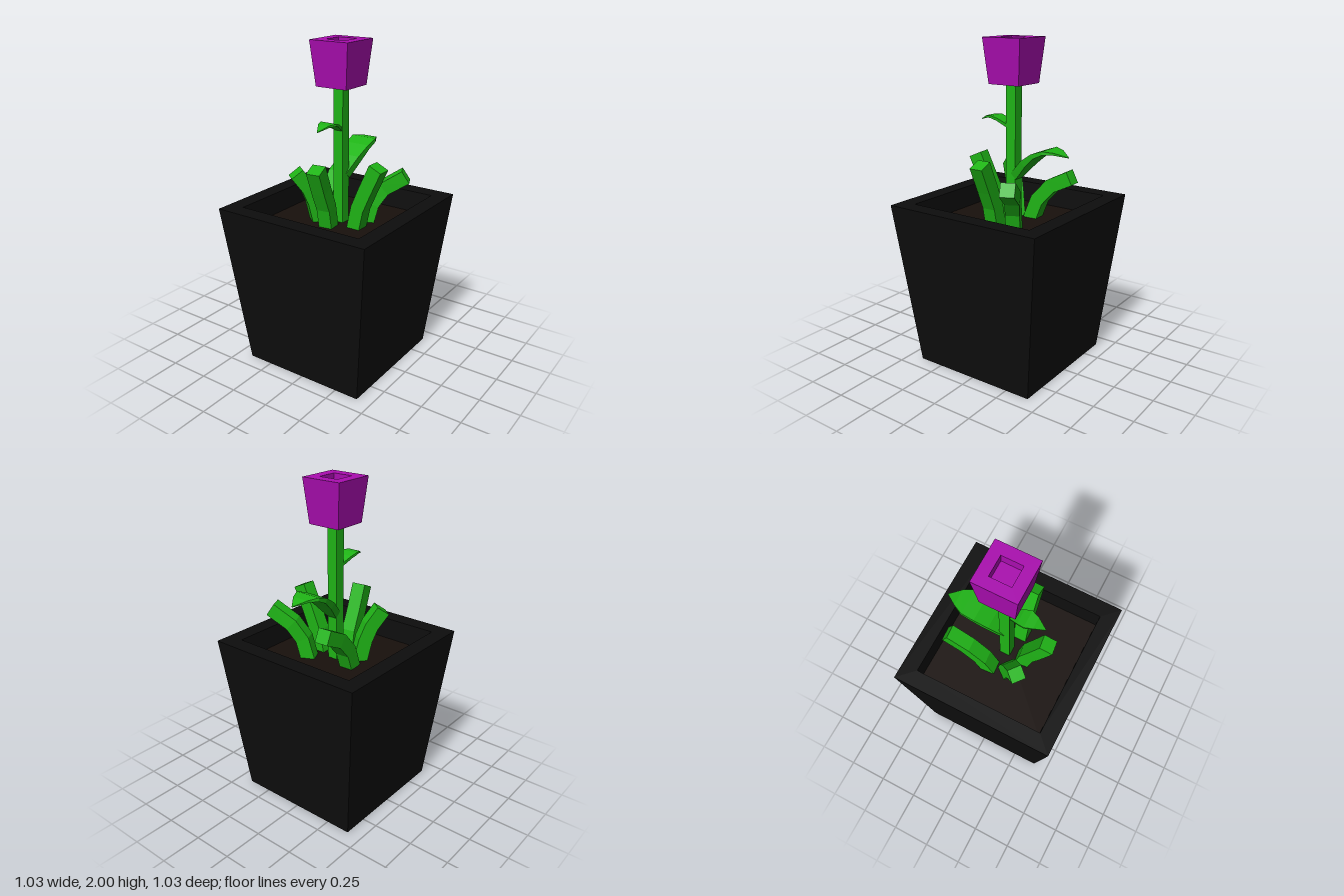
import * as THREE from 'three';

const V = (p) => new THREE.Vector3(...p);
const paint = (color) => new THREE.MeshStandardMaterial({ color, flatShading: true });

function addMesh(parent, name, geometry, material) {
  const flat = geometry.index ? geometry.toNonIndexed() : geometry;
  flat.computeVertexNormals();
  const mesh = new THREE.Mesh(flat, material);
  mesh.name = name;
  parent.add(mesh);
  return mesh;
}

// Square-sided solid from a profile of [half width, height]
function squareLathe(profile) {
  const points = profile.map(([half, y]) => new THREE.Vector2(half * Math.SQRT2, y));
  return new THREE.LatheGeometry(points, 4, Math.PI / 4);
}

// Rectangular section swept along a few points; widths and depths are given per point
function sweep(path, widths, depths) {
  const pts = path.map(V);
  const last = pts.length - 1;
  const heading = pts[last].clone().sub(pts[0]);
  const side = new THREE.Vector3(heading.z, 0, -heading.x).normalize();
  const positions = [];
  const index = [];
  pts.forEach((p, i) => {
    const tangent = pts[Math.min(i + 1, last)].clone().sub(pts[Math.max(i - 1, 0)]).normalize();
    const normal = tangent.clone().cross(side).normalize();
    for (const [a, b] of [[-1, -1], [1, -1], [1, 1], [-1, 1]]) {
      const corner = p.clone()
        .addScaledVector(side, a * widths[i] / 2)
        .addScaledVector(normal, b * depths[i] / 2);
      positions.push(corner.x, corner.y, corner.z);
    }
    if (i === last) return;
    for (let k = 0; k < 4; k++) {
      const a = i * 4 + k, b = i * 4 + (k + 1) % 4;
      index.push(a, b, b + 4, a, b + 4, a + 4);
    }
  });
  const e = last * 4;
  index.push(0, 2, 1, 0, 3, 2, e, e + 1, e + 2, e, e + 2, e + 3);
  const geometry = new THREE.BufferGeometry();
  geometry.setAttribute('position', new THREE.Float32BufferAttribute(positions, 3));
  geometry.setIndex(index);
  return geometry;
}

export function createModel() {
  const model = new THREE.Group();
  model.name = 'pottedFlower';
  const black = paint(0x0d0d0d);
  const brown = paint(0x18100c);
  const green = paint(0x1fb416);
  const purple = paint(0xaa0db0);
  const stemZ = -0.02;

  // Tapered square pot with a thick rim, and the soil inside
  addMesh(model, 'pot', squareLathe([
    [0, 0], [0.405, 0], [0.513, 1.03], [0.412, 1.03], [0.4, 0.88],
  ]), black);
  const soil = addMesh(model, 'soil', new THREE.PlaneGeometry(0.804, 0.804), brown);
  soil.rotation.x = -Math.PI / 2;
  soil.position.y = 0.9;

  // Stem and hollow flower head
  const stem = addMesh(model, 'stem', new THREE.BoxGeometry(0.066, 0.86, 0.066), green);
  stem.position.set(0, 1.32, stemZ);
  const flower = addMesh(model, 'flowerHead', squareLathe([
    [0, 1.735], [0.105, 1.735], [0.13, 2], [0.063, 2], [0.063, 1.94], [0, 1.94],
  ]), purple);
  flower.position.z = stemZ;

  // Two arching pointed leaves growing from the stem
  addMesh(model, 'backLeaf', sweep(
    [[0, 1.19, -0.04], [0, 1.28, -0.125], [0, 1.338, -0.2], [0, 1.367, -0.27],
      [0, 1.364, -0.33], [0, 1.343, -0.4]],
    [0.07, 0.13, 0.16, 0.166, 0.105, 0.004],
    [0.05, 0.045, 0.03, 0.022, 0.014, 0.004]), green);
  addMesh(model, 'frontLeaf', sweep(
    [[0, 1.483, 0.005], [0, 1.522, 0.07], [0, 1.535, 0.11], [0, 1.532, 0.155], [0, 1.507, 0.218]],
    [0.05, 0.095, 0.11, 0.075, 0.004],
    [0.02, 0.016, 0.014, 0.012, 0.004]), green);

  // Bent square shoots around the stem
  const shoots = {
    shootBackRight: [[-0.145, 0.89, -0.06], [-0.15, 1.02, -0.11], [-0.157, 1.12, -0.2], [-0.162, 1.185, -0.33]],
    shootFrontRight: [[-0.125, 0.89, 0.045], [-0.145, 1.03, 0.07], [-0.168, 1.12, 0.1], [-0.212, 1.215, 0.153]],
    shootLeft: [[0.135, 0.89, 0.016], [0.165, 1.03, 0.016], [0.212, 1.14, 0.016], [0.285, 1.298, 0.016]],
    shootFront: [[-0.012, 0.89, 0.095], [-0.008, 1.03, 0.125], [-0.003, 1.15, 0.18], [0.006, 1.293, 0.243]],
    shootBackLeft: [[0.13, 0.89, -0.115], [0.16, 1.02, -0.13], [0.215, 1.115, -0.165], [0.337, 1.2, -0.215]],
  };
  for (const [name, path] of Object.entries(shoots)) {
    const size = path.map(() => 0.086);
    addMesh(model, name, sweep(path, size, size), green);
  }
  return model;
}
